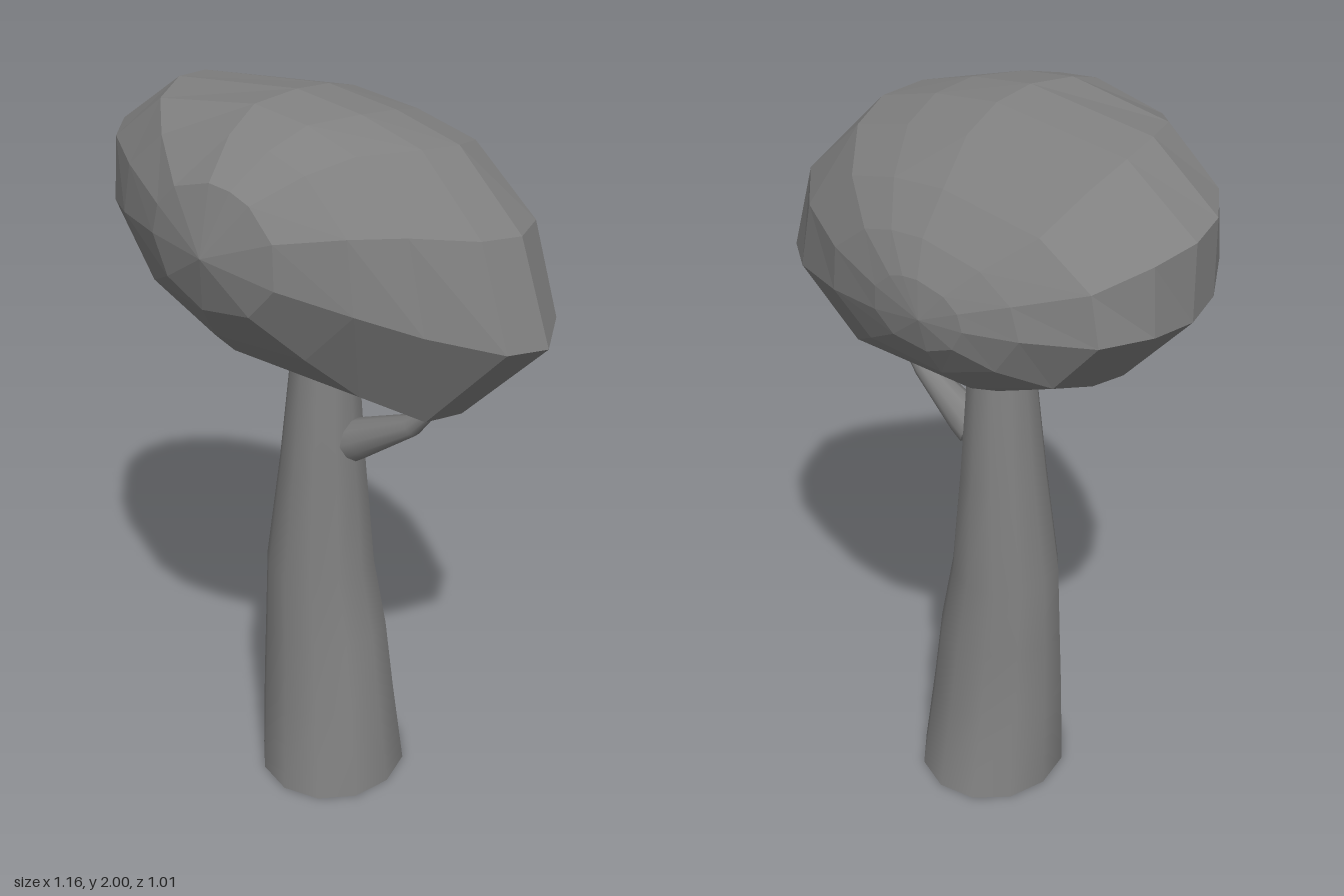
import * as THREE from 'three';
import { toCreasedNormals } from 'three/addons/utils/BufferGeometryUtils.js';

const v = (x, y, z) => new THREE.Vector3(x, y, z);

// Skins rings of equal length and closes both ends with a fan to a point.
// Rings run counter-clockwise as seen from the last ring's end.
function loft(rings, start, end) {
  const n = rings[0].length;
  const points = [...rings.flat(), start, end];
  const s = points.length - 2, e = s + 1, last = (rings.length - 1) * n;
  const index = [];
  for (let j = 0; j < n; j++) {
    const k = (j + 1) % n;
    for (let i = 0; i < last; i += n) {
      index.push(i + j, i + k, i + n + k, i + j, i + n + k, i + n + j);
    }
    index.push(s, k, j, e, last + j, last + k);
  }
  const geometry = new THREE.BufferGeometry().setFromPoints(points);
  geometry.setIndex(index);
  geometry.computeVertexNormals();
  return geometry;
}

function part(name, geometry, flatShading) {
  const material = new THREE.MeshStandardMaterial({ color: 0x808080, flatShading });
  const mesh = new THREE.Mesh(geometry, material);
  mesh.name = name;
  return mesh;
}

// Tapering trunk: [y, xMin, xMax, zMin, zMax] per level
function trunk() {
  const levels = [
    [0, -0.205, 0.203, -0.24, 0.232],
    [0.25, -0.198, 0.172, -0.19, 0.192],
    [0.45, -0.192, 0.148, -0.175, 0.163],
    [0.65, -0.185, 0.113, -0.16, 0.147],
    [0.95, -0.146, 0.088, -0.141, 0.128],
    [1.25, -0.114, 0.068, -0.112, 0.102],
    [1.36, -0.1, 0.06, -0.1, 0.09],
  ];
  const rings = levels.map(([y, x0, x1, z0, z1]) => Array.from({ length: 12 }, (_, j) => {
    const t = (j / 12) * Math.PI * 2;
    return v((x0 + x1) / 2 + Math.cos(t) * (x1 - x0) / 2, y, (z0 + z1) / 2 - Math.sin(t) * (z1 - z0) / 2);
  }));
  return part('trunk', toCreasedNormals(loft(rings, v(0, 0, 0), v(-0.02, 1.36, 0)), 0.9), false);
}

// Side branch, bending upward into the crown
function branch() {
  const path = [v(0.06, 1.04, 0.045), v(0.09, 1.06, 0.06), v(0.23, 1.15, 0.142), v(0.29, 1.22, 0.17), v(0.32, 1.27, 0.18)];
  const radii = [0.056, 0.054, 0.03, 0.018, 0.016];
  const rings = path.map((p, i) => {
    const t = path[Math.min(i + 1, 4)].clone().sub(path[Math.max(i - 1, 0)]).normalize();
    const e1 = t.clone().cross(v(0, 0, 1)).normalize();
    const e2 = t.clone().cross(e1);
    return Array.from({ length: 10 }, (_, j) => {
      const a = (j / 10) * Math.PI * 2;
      return p.clone().addScaledVector(e1, radii[i] * Math.cos(a)).addScaledVector(e2, radii[i] * Math.sin(a));
    });
  });
  return part('branch', toCreasedNormals(loft(rings, v(0.04, 1.025, 0.035), path[4]), 0.9), false);
}

// Faceted crown: a lopsided outline swept along a diagonal horizontal axis
function crown() {
  const place = (a, u, y) => v(0.46 * a + 0.89 * u, y, -0.89 * a + 0.46 * u);
  const outline = [
    [-1, 0.52], [-0.67, 0.9], [-0.04, 1], [0.28, 0.93], [0.57, 0.8], [0.86, 0.32],
    [1, -0.37], [0.62, -1], [-0.2, -0.9], [-0.69, -0.54], [-1, 0],
  ];
  // [distance along axis, uMin, uMax, yMin, yMax, roundness]
  const stations = [
    [-0.47, -0.18, 0.2, 1.54, 1.87, 0.9],
    [-0.36, -0.375, 0.35, 1.41, 1.95, 0.6],
    [-0.24, -0.52, 0.46, 1.3, 1.99, 0.25],
    [-0.11, -0.6, 0.6, 1.225, 2, 0],
    [0.01, -0.63, 0.64, 1.21, 1.985, 0],
    [0.14, -0.62, 0.585, 1.26, 1.945, 0.15],
    [0.27, -0.56, 0.43, 1.345, 1.86, 0.45],
    [0.36, -0.4, 0.22, 1.43, 1.77, 0.75],
    [0.41, -0.27, 0.02, 1.51, 1.69, 0.9],
  ];
  const rings = stations.map(([a, u0, u1, y0, y1, round]) => outline.map(([p, q]) => {
    const k = 1 + round * (1 / Math.hypot(p, q) - 1);
    return place(a, (u0 + u1) / 2 + p * k * (u1 - u0) / 2, (y0 + y1) / 2 + q * k * (y1 - y0) / 2);
  }));
  return part('crown', loft(rings, place(-0.52, 0.01, 1.7), place(0.43, -0.15, 1.6)), true);
}

export function createModel() {
  const tree = new THREE.Group();
  tree.name = 'tree';
  tree.add(trunk(), branch(), crown());
  return tree;
}
